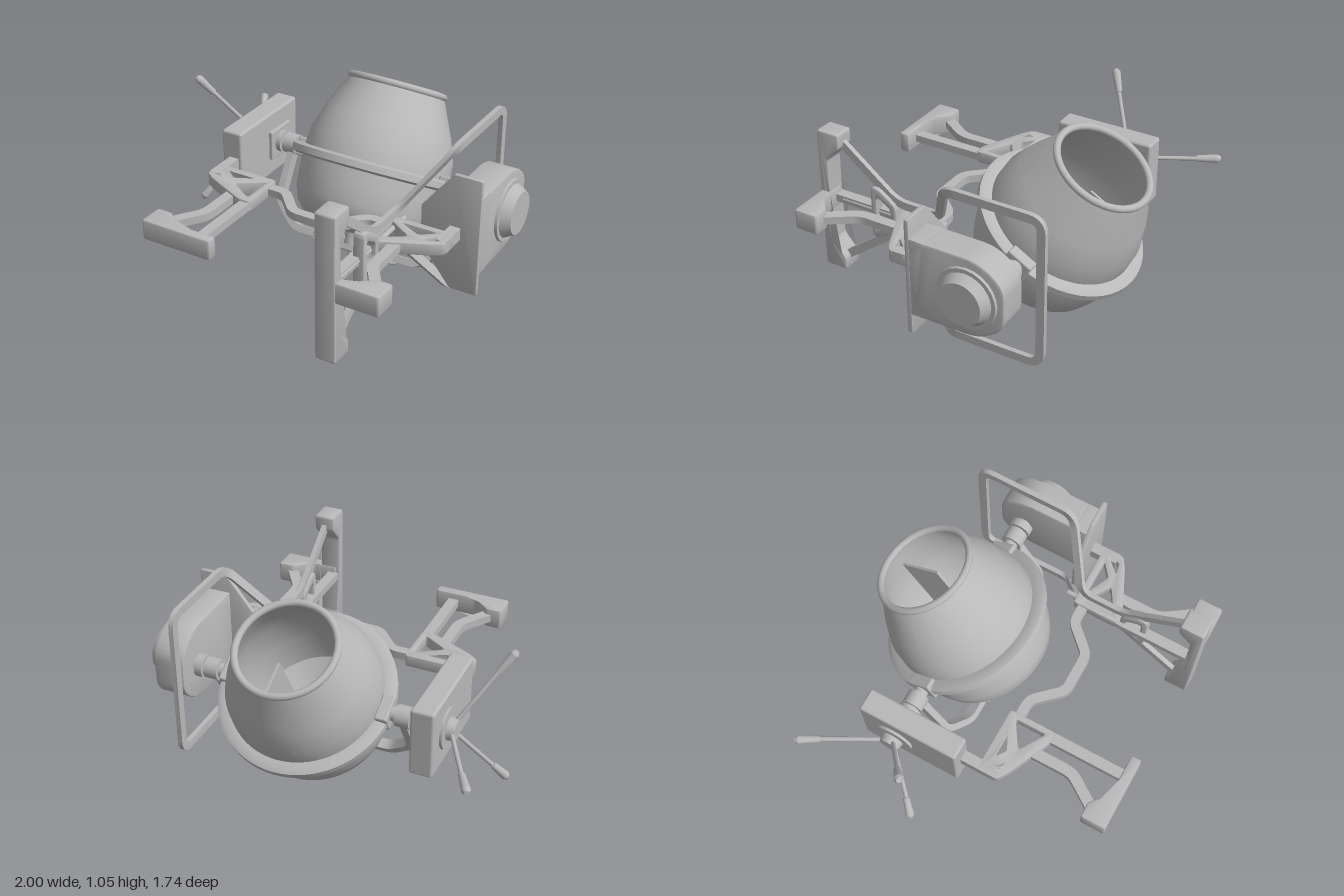
import * as THREE from 'three';
import { toCreasedNormals } from 'three/addons/utils/BufferGeometryUtils.js';
import { RoundedBoxGeometry } from 'three/addons/geometries/RoundedBoxGeometry.js';

const CX = 0.08, PY = 0.485, PZ = -0.375; // drum pivot
const grey = new THREE.MeshStandardMaterial({ color: 0xb8b8b8, side: THREE.DoubleSide });
grey.name = 'grey metal';
const V = (x, y, z) => new THREE.Vector3(x, y, z);

export function createModel() {
  const model = new THREE.Group();
  model.name = 'cementMixer';

  function add(name, geo, parent = model, pos = [0, 0, 0]) {
    const m = new THREE.Mesh(geo, grey);
    m.name = name;
    m.position.set(...pos);
    parent.add(m);
    return m;
  }

  // Round the inner corners of a polyline
  function roundPath(pts, r, closed = false) {
    const out = [], n = pts.length;
    pts.forEach((p, i) => {
      if (!closed && (i === 0 || i === n - 1)) return out.push(p.clone());
      const a = pts[(i + n - 1) % n], b = pts[(i + 1) % n];
      const p0 = p.clone().lerp(a, Math.min(0.45, r / p.distanceTo(a)));
      const p1 = p.clone().lerp(b, Math.min(0.45, r / p.distanceTo(b)));
      for (let k = 0; k <= 5; k++) {
        const t = k / 5;
        out.push(p0.clone().lerp(p, t).lerp(p.clone().lerp(p1, t), t));
      }
    });
    return out;
  }

  // Rectangular bar along a path: w across, t along the fixed direction n
  function bar(path, w, t, n, r = 0.05) {
    const pts = roundPath(path, r), pos = [], idx = [];
    pts.forEach((p, i) => {
      const tan = pts[Math.min(i + 1, pts.length - 1)].clone().sub(pts[Math.max(i - 1, 0)]);
      const side = n.clone().cross(tan).normalize();
      for (const [a, b] of [[-1, -1], [1, -1], [1, 1], [-1, 1]]) {
        const q = p.clone().addScaledVector(side, a * w / 2).addScaledVector(n, b * t / 2);
        pos.push(q.x, q.y, q.z);
      }
      if (i) for (let k = 0; k < 4; k++) {
        const c = (i - 1) * 4 + k, d = (i - 1) * 4 + (k + 1) % 4;
        idx.push(c, d + 4, d, c, c + 4, d + 4);
      }
    });
    const e = pts.length * 4 - 4;
    idx.push(0, 1, 2, 0, 2, 3, e, e + 2, e + 1, e, e + 3, e + 2);
    // Keep the winding outward whichever way the section is swept
    for (let k = 0; k < idx.length; k += 3) [idx[k + 1], idx[k + 2]] = [idx[k + 2], idx[k + 1]];
    const g = new THREE.BufferGeometry();
    g.setAttribute('position', new THREE.Float32BufferAttribute(pos, 3));
    g.setIndex(idx);
    return toCreasedNormals(g, 0.6);
  }

  // Extruded slab; plane 'top' uses (x, z), 'side' uses (z, y), 'front' uses (x, y)
  function slab(plane, outline, centre, depth, { r = 0.015, holes = [], bevel = 0.008 } = {}) {
    const ring = l => roundPath(l.map(([a, b]) => V(a, b, 0)), r, true).map(p => new THREE.Vector2(p.x, p.y));
    const s = new THREE.Shape(ring(outline));
    s.holes = holes.map(h => new THREE.Path(ring(h)));
    const g = new THREE.ExtrudeGeometry(s, {
      depth: depth - 2 * bevel, bevelEnabled: bevel > 0, bevelSize: bevel,
      bevelThickness: bevel, bevelOffset: -bevel, bevelSegments: 2,
    });
    g.translate(0, 0, -(depth - 2 * bevel) / 2);
    if (plane === 'top') g.rotateX(Math.PI / 2).translate(0, centre, 0);
    else if (plane === 'side') g.rotateY(-Math.PI / 2).translate(centre, 0, 0);
    else g.translate(0, 0, centre);
    return toCreasedNormals(g, 0.6);
  }

  function rod(name, a, b, r0, r1 = r0, parent = model) {
    const m = add(name, new THREE.CylinderGeometry(r1, r0, a.distanceTo(b), 24), parent);
    m.position.copy(a).add(b).multiplyScalar(0.5);
    m.quaternion.setFromUnitVectors(V(0, 1, 0), b.clone().sub(a).normalize());
    return m;
  }

  const lathe = (pts, seg = 64, a = 0, l = Math.PI * 2) => toCreasedNormals(
    new THREE.LatheGeometry(pts.map(([x, y]) => new THREE.Vector2(x, y)), seg, a, l), 0.6);

  // Tilted drum and everything that turns with it
  const drum = new THREE.Group();
  drum.name = 'tiltedDrum';
  drum.position.set(CX, PY, PZ);
  drum.rotation.x = -Math.PI / 6;
  model.add(drum);
  add('drumShell', lathe([[0.001, -0.38], [0.27, -0.38], [0.335, -0.345], [0.385, -0.29], [0.413, -0.21],
    [0.422, -0.1], [0.425, -0.02], [0.425, 0.02], [0.418, 0.13], [0.375, 0.25], [0.275, 0.47],
    [0.255, 0.47], [0.355, 0.25], [0.4, 0.1], [0.4, -0.1], [0.365, -0.28], [0.26, -0.365], [0.001, -0.365]]), drum);
  add('drumFlange', lathe([[0.42, -0.03], [0.465, -0.03], [0.49, -0.018], [0.49, 0.018], [0.465, 0.03], [0.42, 0.03]]), drum);
  add('mouthRim', new THREE.TorusGeometry(0.27, 0.02, 12, 64).rotateX(Math.PI / 2), drum, [0, 0.475, 0]);
  add('mixingBlade', new THREE.BoxGeometry(0.014, 0.6, 0.26), drum, [0.06, 0.05, -0.16]);
  for (const a of [Math.PI / 3, Math.PI, -Math.PI / 3])
    add('drumPanel', lathe([[0.371, 0.27], [0.309, 0.41]], 12, a - 0.32, 0.64), drum);
  add('drumHub', new THREE.CylinderGeometry(0.07, 0.07, 0.09, 32), drum, [0, -0.42, 0]);

  // Yoke under the drum
  const yoke = [[-0.545, 0.04], [-0.545, -0.33], [-0.4, -0.465], [0.4, -0.465], [0.545, -0.33], [0.545, 0.04]];
  add('yoke', bar(yoke.map(([x, y]) => V(x, y, 0)), 0.04, 0.06, V(0, 0, 1)), drum);
  add('yokeBlock', new RoundedBoxGeometry(0.52, 0.06, 0.075, 2, 0.008), drum, [0, -0.475, 0]);
  add('yokeBracket', new RoundedBoxGeometry(0.22, 0.075, 0.095, 2, 0.008), drum, [0, -0.465, 0]);
  add('yokeBolt', new THREE.CylinderGeometry(0.03, 0.03, 0.06, 24), drum, [0, -0.515, 0]);

  // Parts mirrored about the drum
  for (const s of [-1, 1]) {
    const X = u => CX + s * u;
    const mir = l => l.map(([u, z]) => [X(u), z]);
    add('trunnionBracket', new RoundedBoxGeometry(0.07, 0.11, 0.15, 2, 0.01), drum, [s * 0.455, 0, 0]);
    rod('trunnionShaft', V(X(0.42), PY, PZ), V(X(0.68), PY, PZ), 0.04);
    rod('trunnionCollar', V(X(0.52), PY, PZ), V(X(0.6), PY, PZ), 0.06);
    rod('trunnionFlange', V(X(0.61), PY, PZ), V(X(0.655), PY, PZ), 0.065);

    add('lattice', slab('top', mir([[0.36, 0.11], [0.74, 0.11], [0.74, 0.23], [0.68, 0.27], [0.43, 0.385], [0.36, 0.385]]),
      0.49, 0.07, { r: 0.02, bevel: 0.006, holes: [
        mir([[0.45, 0.15], [0.66, 0.15], [0.58, 0.215]]),
        mir([[0.395, 0.16], [0.395, 0.345], [0.54, 0.255]]),
        mir([[0.695, 0.165], [0.695, 0.225], [0.62, 0.245]])] }));
    add('supportArm', new THREE.BoxGeometry(0.06, 0.07, 0.24), model, [X(0.71), 0.49, 0.09]);
    add('bentLeg', bar([[0.51, 0.33], [0.51, 0.57], [0.64, 0.76]].map(([u, z]) => V(X(u), 0.49, z)), 0.06, 0.045, V(0, 1, 0)));
    add('straightLeg', bar([V(X(0.39), 0.49, 0.36), V(X(0.39), 0.49, 0.83)], 0.06, 0.045, V(0, 1, 0)));
    const inner = s < 0 ? 0.28 : 0.37;
    add('foot', slab('top', mir([[0.71, 0.72], [0.62, 0.72], [0.52, 0.805], [inner, 0.805], [inner, 0.865], [0.71, 0.865]]),
      0.49, 0.12, { bevel: 0.012 }));
  }

  // Cross bar joining the two lattices
  add('crossBar', bar([[-0.39, 0.17], [-0.26, 0.17], [-0.12, 0.32], [0.12, 0.32], [0.26, 0.17], [0.39, 0.17]]
    .map(([u, z]) => V(CX + u, 0.49, z)), 0.055, 0.045, V(0, 1, 0), 0.04));

  // Upright foot and the guard hoop running back from it
  add('uprightFoot', slab('side', [[0.73, 0.92], [0.87, 0.92], [0.87, 0.065], [0.73, 0.065], [0.73, 0.14],
    [0.81, 0.235], [0.81, 0.75], [0.73, 0.835]], 0.49, 0.12, { bevel: 0.012 }));
  add('guardHoop', bar([[0.49, 0.86, 0.76], [0.49, 0.58, 0.4], [0.49, 0.58, 0.13], [0.73, 0.925, -0.06],
    [0.73, 0.925, -0.62], [0.73, 0.07, -0.62], [0.73, 0.07, -0.06], [0.49, 0.4, 0.13], [0.49, 0.4, 0.4],
    [0.49, 0.13, 0.76]].map(p => V(...p)), 0.048, 0.028, V(1, 0, 0), 0.07));
  add('hoopBrace', slab('side', [[0.55, 0.34], [0.55, 0.65], [0.5, 0.65], [0.39, 0.57], [0.39, 0.42], [0.5, 0.34]],
    0.495, 0.065, { r: 0.03, holes: [[[0.515, 0.39], [0.515, 0.6], [0.425, 0.545], [0.425, 0.445]]] }));
  rod('tieRod', V(0.49, 0.49, 0.05), V(0.49, 0.49, 0.76), 0.015);

  // Motor housing on the left
  add('shieldPlate', slab('front', [[0.93, 0.83], [0.77, 0.83], [0.59, 0.6], [0.59, 0.37], [0.77, 0.14], [0.93, 0.14]],
    0.037, 0.026, { r: 0.01, bevel: 0.003 }));
  add('motorHousing', slab('side', [[0.03, 0.72], [-0.18, 0.72], [-0.38, 0.72], [-0.52, 0.62], [-0.525, 0.49],
    [-0.52, 0.36], [-0.38, 0.26], [-0.18, 0.26], [0.03, 0.26]], 0.84, 0.18, { r: 0.1, bevel: 0.012 }));
  add('motorBase', slab('side', [[0.03, 0.72], [-0.06, 0.72], [-0.06, 0.26], [0.03, 0.26]], 0.84, 0.18, { r: 0.005 }));
  rod('motorCover', V(0.92, 0.49, -0.31), V(0.945, 0.49, -0.31), 0.18, 0.175);
  rod('motorCap', V(0.94, 0.49, -0.31), V(1, 0.49, -0.31), 0.155, 0.122);

  // Gearbox and tilting wheel on the right
  add('gearbox', new RoundedBoxGeometry(0.13, 0.395, 0.585, 3, 0.015), model, [-0.645, 0.487, -0.28]);
  add('gearboxBoss', new RoundedBoxGeometry(0.03, 0.18, 0.2, 2, 0.008), model, [-0.575, PY, PZ]);
  rod('wheelFlange', V(-0.7, PY, PZ), V(-0.725, PY, PZ), 0.115);
  rod('wheelHub', V(-0.72, PY, PZ), V(-0.77, PY, PZ), 0.065, 0.055);
  for (let i = 0; i < 3; i++) {
    const a = Math.PI + i * Math.PI * 2 / 3;
    const at = (x, r) => V(x, PY + r * Math.sin(a), PZ + r * Math.cos(a));
    rod('wheelSpoke', at(-0.745, 0.03), at(-0.93, 0.37), 0.012);
    rod('wheelGrip', at(-0.915, 0.34), at(-0.975, 0.445), 0.018, 0.025);
    rod('gripEnd', at(-0.975, 0.445), at(-0.985, 0.463), 0.025, 0.014);
  }
  return model;
}
